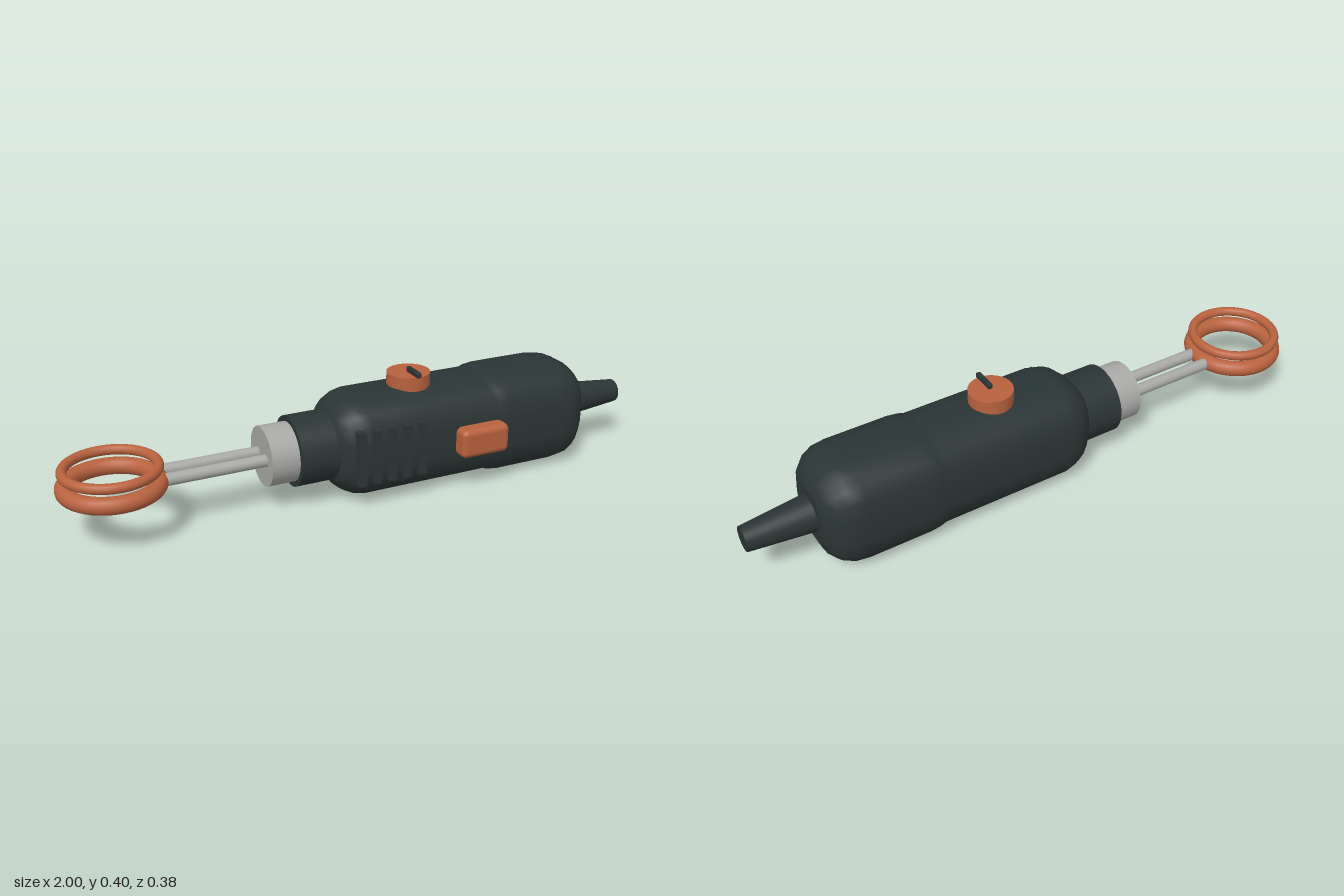
import * as THREE from 'three';
import { RoundedBoxGeometry } from 'three/addons/geometries/RoundedBoxGeometry.js';

const AXIS_Y = 0.18, AXIS_Z = -0.018;

// Loft of 20-sided superellipse sections along x; each station is [x, halfHeight, halfDepth]
function loftBody(stations, sides = 20, power = 2.8) {
  const pos = [], idx = [];
  const ring = ([x, h, d]) => {
    const start = pos.length / 3;
    for (let j = 0; j < sides; j++) {
      const t = ((j + 0.5) / sides) * Math.PI * 2;
      const bend = (v) => Math.sign(v) * Math.abs(v) ** (2 / power);
      pos.push(x, h * bend(Math.sin(t)), d * bend(Math.cos(t)));
    }
    return start;
  };
  const starts = stations.map(ring);
  for (let i = 0; i < starts.length - 1; i++) {
    for (let j = 0; j < sides; j++) {
      const k = (j + 1) % sides;
      const a = starts[i] + j, b = starts[i] + k, c = starts[i + 1] + j, d = starts[i + 1] + k;
      idx.push(a, c, b, b, c, d);
    }
  }
  // flat end caps with their own vertices
  [stations[0], stations[stations.length - 1]].forEach((s, end) => {
    const start = ring(s), centre = pos.length / 3;
    pos.push(s[0], 0, 0);
    for (let j = 0; j < sides; j++) {
      const a = start + j, b = start + (j + 1) % sides;
      if (end) idx.push(centre, b, a);
      else idx.push(centre, a, b);
    }
  });
  const g = new THREE.BufferGeometry();
  g.setAttribute('position', new THREE.Float32BufferAttribute(pos, 3));
  g.setIndex(idx);
  g.computeVertexNormals();
  return g;
}

export function createModel() {
  const dark = new THREE.MeshStandardMaterial({ color: 0x2b3535 });
  dark.name = 'darkCasing';
  const copper = new THREE.MeshStandardMaterial({ color: 0xb8623e });
  copper.name = 'copper';
  const metal = new THREE.MeshStandardMaterial({ color: 0xa8a8a6 });
  metal.name = 'lightMetal';

  const model = new THREE.Group();
  model.name = 'handheldTool';
  const add = (name, geometry, material, x, y, z) => {
    const mesh = new THREE.Mesh(geometry, material);
    mesh.name = name;
    mesh.position.set(x, y, z);
    model.add(mesh);
    return mesh;
  };
  // Cylinder lying along x between x0 (radius r0) and x1 (radius r1)
  const barrel = (name, x0, x1, r0, r1, material, y = AXIS_Y + 0.001, z = AXIS_Z) =>
    add(name, new THREE.CylinderGeometry(r0, r1, x1 - x0, 32).rotateZ(Math.PI / 2),
      material, (x0 + x1) / 2, y, z);

  // Casing with a slightly swollen rear
  add('casing', loftBody([
    [-0.14, 0.105, 0.1], [-0.13, 0.125, 0.12], [-0.105, 0.147, 0.14], [-0.08, 0.159, 0.152],
    [-0.04, 0.167, 0.161], [0.15, 0.167, 0.161], [0.405, 0.167, 0.161], [0.425, 0.173, 0.165],
    [0.46, 0.177, 0.168], [0.67, 0.177, 0.168], [0.715, 0.172, 0.163], [0.75, 0.156, 0.148],
    [0.778, 0.128, 0.121], [0.79, 0.095, 0.09],
  ]), dark, 0, AXIS_Y - 0.001, AXIS_Z);

  // Nose, chuck and cable sleeve
  barrel('noseCollar', -0.263, -0.1, 0.116, 0.116, dark);
  barrel('chuck', -0.355, -0.26, 0.098, 0.098, metal);
  barrel('cableSleeve', 0.77, 1, 0.062, 0.04, dark, AXIS_Y - 0.001);

  // Twin rods carrying the loops
  for (const side of [-1, 1]) {
    barrel('rod', -0.68, -0.34, 0.02, 0.02, metal, AXIS_Y + 0.001, AXIS_Z + side * 0.035);
  }

  // Working loops
  const loop = (name, outer, tube, y) =>
    add(name, new THREE.TorusGeometry(outer - tube, tube, 16, 48).rotateX(Math.PI / 2),
      copper, -0.832, y, AXIS_Z);
  loop('lowerLoop', 0.168, 0.027, 0.181);
  loop('upperLoop', 0.158, 0.016, 0.235);

  // Dial with pointer on top
  add('dial', new THREE.CylinderGeometry(0.072, 0.072, 0.06, 32), copper, 0.163, 0.355, AXIS_Z);
  add('dialPointer', new RoundedBoxGeometry(0.016, 0.018, 0.08, 2, 0.004), dark, 0.163, 0.393, 0.02);

  // Switch and grip ribs on the front face
  add('switch', new RoundedBoxGeometry(0.175, 0.098, 0.08, 4, 0.02), copper, 0.346, 0.178, 0.152);
  for (let i = 0; i < 5; i++) {
    add('gripRib', new THREE.BoxGeometry(0.026, 0.182, 0.03), dark, -0.08 + i * 0.0535, 0.179, 0.135);
  }
  return model;
}
